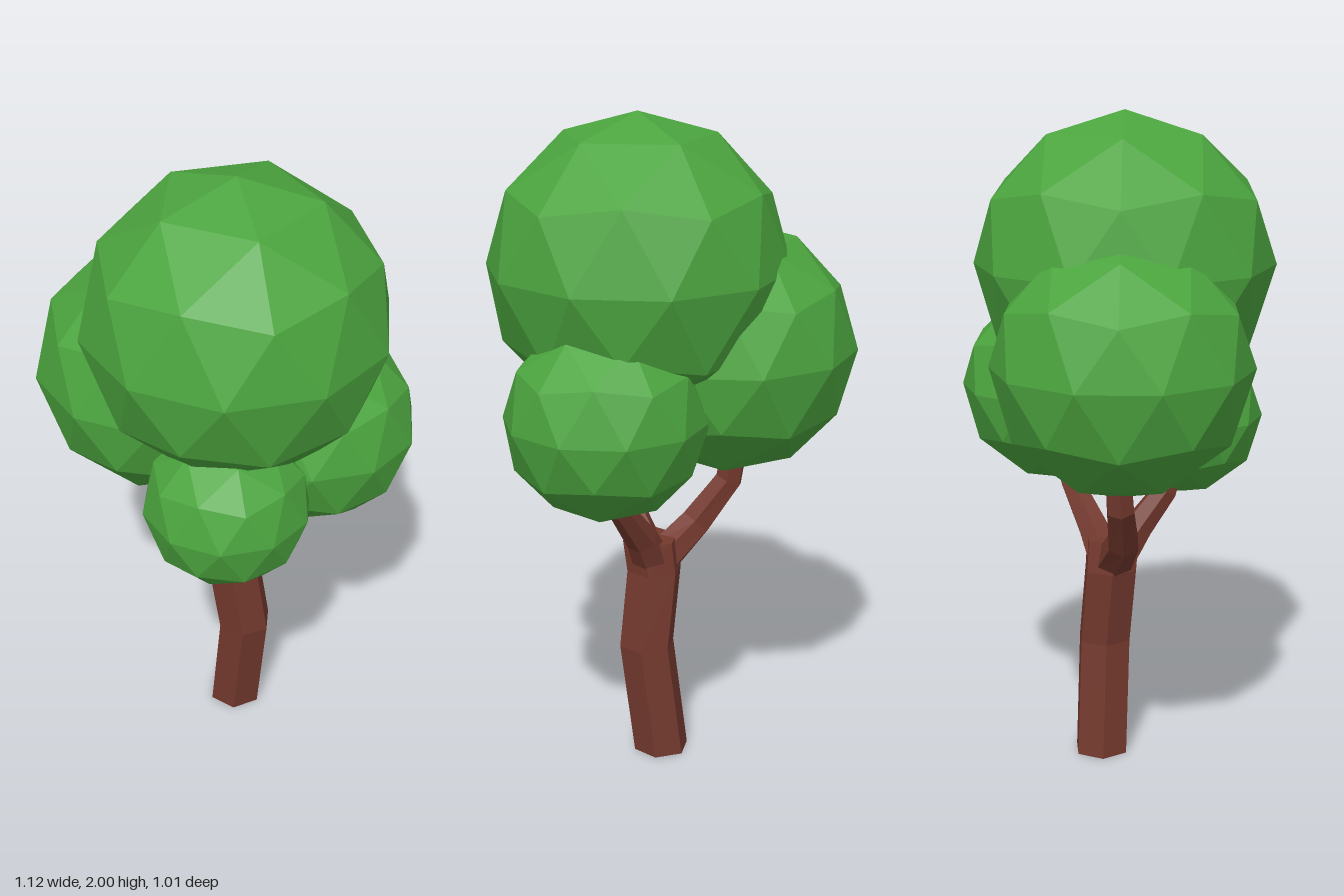
import * as THREE from 'three';

const SIDES = 6;
const bark = new THREE.MeshStandardMaterial({ color: 0x74392e, flatShading: true });
const leaf = new THREE.MeshStandardMaterial({ color: 0x4ca53f, flatShading: true });
const UP = new THREE.Vector3(0, 1, 0);

// Capped six-sided limb through stations [x, y, z, radius]
function limb(name, stations, level = false) {
  const centres = stations.map(([x, y, z]) => new THREE.Vector3(x, y, z));
  const last = centres.length - 1;
  const pos = [], index = [];
  centres.forEach((c, i) => {
    const dir = centres[Math.min(i + 1, last)].clone().sub(centres[Math.max(i - 1, 0)]).normalize();
    const q = new THREE.Quaternion();
    if (!level) q.setFromUnitVectors(UP, dir);
    for (let k = 0; k < SIDES; k++) {
      const a = (k / SIDES) * Math.PI * 2, r = stations[i][3];
      const p = new THREE.Vector3(Math.sin(a) * r, 0, Math.cos(a) * r).applyQuaternion(q).add(c);
      pos.push(p.x, p.y, p.z);
    }
  });
  for (let i = 0; i < last; i++) {
    for (let k = 0; k < SIDES; k++) {
      const a = i * SIDES + k, b = i * SIDES + (k + 1) % SIDES;
      index.push(a, b, b + SIDES, a, b + SIDES, a + SIDES);
    }
  }
  // End caps
  const top = last * SIDES;
  for (let k = 1; k < SIDES - 1; k++) {
    index.push(0, k + 1, k, top, top + k, top + k + 1);
  }
  const geo = new THREE.BufferGeometry();
  geo.setAttribute('position', new THREE.Float32BufferAttribute(pos, 3));
  geo.setIndex(index);
  geo.computeVertexNormals();
  const mesh = new THREE.Mesh(geo, bark);
  mesh.name = name;
  return mesh;
}

// Faceted ball of leaves with one corner pointing straight up
function foliage(name, x, y, z, r) {
  const geo = new THREE.IcosahedronGeometry(r, 1);
  geo.rotateZ(-Math.atan(2 / (1 + Math.sqrt(5))));
  const mesh = new THREE.Mesh(geo, leaf);
  mesh.position.set(x, y, z);
  mesh.name = name;
  return mesh;
}

export function createModel() {
  const tree = new THREE.Group();
  tree.name = 'tree';

  // Bent trunk, flaring slightly at the fork
  tree.add(limb('trunk', [
    [0.035, 0, -0.045, 0.087],
    [0.065, 0.36, -0.012, 0.087],
    [0.03, 0.6, -0.012, 0.087],
    [0.035, 0.7, 0, 0.088],
  ], true));

  // Three branches
  tree.add(limb('rightBranch', [
    [0.0, 0.63, -0.02, 0.06],
    [-0.11, 0.725, -0.06, 0.052],
    [-0.19, 0.86, -0.125, 0.045],
    [-0.2, 0.97, -0.14, 0.042],
  ]));
  tree.add(limb('leftBranch', [
    [0.05, 0.63, -0.02, 0.06],
    [0.105, 0.72, -0.03, 0.05],
    [0.21, 0.845, -0.04, 0.037],
    [0.25, 0.93, -0.045, 0.035],
  ]));
  tree.add(limb('frontBranch', [
    [0.025, 0.63, 0.01, 0.06],
    [0.01, 0.725, 0.08, 0.048],
    [-0.015, 0.83, 0.16, 0.04],
    [-0.01, 0.92, 0.2, 0.036],
  ]));

  // Leaf crowns
  tree.add(foliage('topFoliage', 0.037, 1.545, 0.045, 0.455));
  tree.add(foliage('rightFoliage', -0.192, 1.285, -0.12, 0.387));
  tree.add(foliage('leftFoliage', 0.272, 1.145, -0.042, 0.303));
  tree.add(foliage('frontFoliage', 0.027, 1.055, 0.255, 0.25));
  return tree;
}
